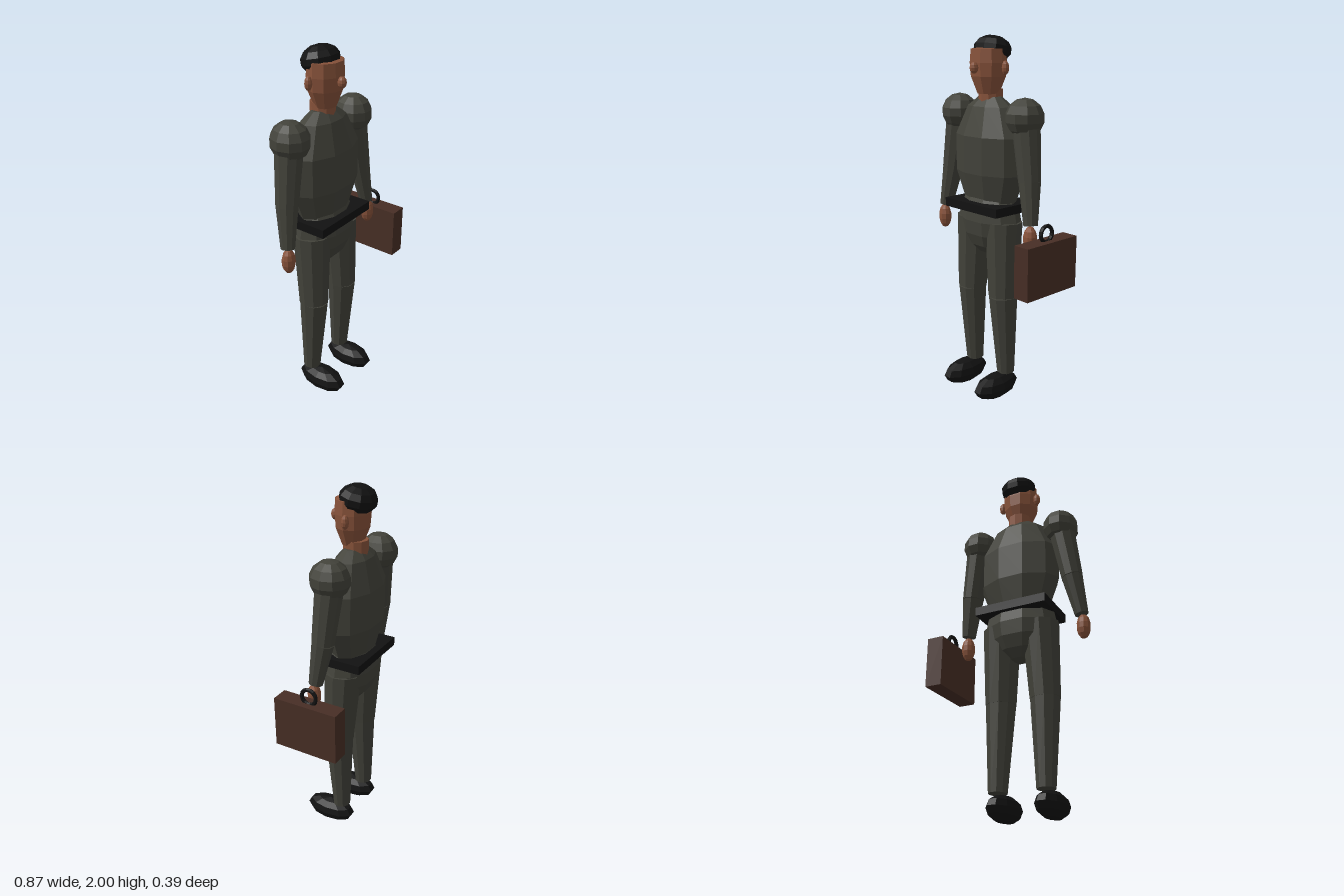
import * as THREE from 'three';

const flat = (name, color) => {
  const m = new THREE.MeshStandardMaterial({ color });
  m.name = name;
  m.flatShading = true;
  return m;
};

export function createModel() {
  const suit = flat('suit grey', 0x42423a);
  const skin = flat('skin brown', 0x87523a);
  const black = flat('black', 0x121212);
  const leather = flat('case leather', 0x472e25);

  const SIDES = 10;
  const model = new THREE.Group();
  model.name = 'man with briefcase';
  const body = new THREE.Group();
  body.name = 'body';
  body.position.x = -0.0525;
  model.add(body);

  const add = (parent, name, geometry, material, x = 0, y = 0, z = 0) => {
    const mesh = new THREE.Mesh(geometry, material);
    mesh.name = name;
    mesh.position.set(x, y, z);
    parent.add(mesh);
    return mesh;
  };

  // Low-poly ellipsoid
  const ball = (name, material, [x, y, z], [rx, ry, rz], rings = 7) =>
    add(body, name, new THREE.SphereGeometry(1, SIDES, rings).scale(rx, ry, rz), material, x, y, z);

  // Turned shape with an oval section and flat faces to front and back
  const turned = (name, material, profile, depth, z) => {
    const points = profile.map(([r, y]) => new THREE.Vector2(r, y));
    const geometry = new THREE.LatheGeometry(points, SIDES).rotateY(Math.PI / SIDES).scale(1, 1, depth);
    return add(body, name, geometry, material, 0, 0, z);
  };

  // Tapered limb section from an upper point to a lower one
  const limb = (name, from, to, rTop, rBottom) => {
    const a = new THREE.Vector3(...from);
    const b = new THREE.Vector3(...to);
    const axis = a.clone().sub(b);
    const geometry = new THREE.CylinderGeometry(rTop, rBottom, axis.length(), SIDES).rotateY(Math.PI / SIDES);
    const mesh = add(body, name, geometry, suit);
    mesh.position.copy(a).add(b).multiplyScalar(0.5);
    mesh.quaternion.setFromUnitVectors(new THREE.Vector3(0, 1, 0), axis.normalize());
  };

  // Head
  turned('head', skin, [[0, 1.695], [0.062, 1.7], [0.1, 1.79], [0.106, 1.86], [0.1, 1.93], [0, 1.95]], 0.87, -0.015);
  add(body, 'neck', new THREE.CylinderGeometry(0.066, 0.066, 0.09, SIDES), skin, 0, 1.68, -0.033);
  ball('nose', skin, [0, 1.835, 0.085], [0.023, 0.03, 0.024], 6);
  const hair = ball('hair', black, [0, 1.928, -0.045], [0.107, 0.072, 0.098]);
  hair.rotation.x = -0.2;

  // Trunk
  turned('torso', suit, [[0, 1.1], [0.165, 1.1], [0.235, 1.28], [0.235, 1.48],
    [0.152, 1.635], [0.078, 1.685], [0, 1.69]], 0.58, -0.03);
  add(body, 'belt', new THREE.BoxGeometry(0.41, 0.048, 0.292), black, 0, 1.101, -0.024);
  ball('pelvis', suit, [0, 1.02, -0.025], [0.21, 0.205, 0.13], 8);

  // Mirrored parts
  for (const [side, s] of [['left', 1], ['right', -1]]) {
    ball(`${side} ear`, skin, [s * 0.11, 1.835, -0.033], [0.021, 0.037, 0.02], 6);
    ball(`${side} shoulder`, suit, [s * 0.255, 1.59, -0.033], [0.1, 0.102, 0.107]);
    limb(`${side} upper arm`, [s * 0.262, 1.56, -0.035], [s * 0.308, 1.265, -0.02], 0.075, 0.06);
    limb(`${side} forearm`, [s * 0.308, 1.265, -0.02], [s * 0.343, 1.045, 0.005], 0.059, 0.038);
    ball(`${side} hand`, skin, [s * 0.348, 0.975, 0.012], [0.039, 0.07, 0.036]);
    limb(`${side} thigh`, [s * 0.115, 1.02, -0.022], [s * 0.128, 0.6, -0.006], 0.104, 0.083);
    limb(`${side} shin`, [s * 0.128, 0.6, -0.006], [s * 0.132, 0.135, -0.025], 0.081, 0.05);
    ball(`${side} shoe`, black, [s * 0.132, 0.07, 0.05], [0.075, 0.07, 0.152], 6);
  }

  // Briefcase with ring handle
  const briefcase = new THREE.Group();
  briefcase.name = 'briefcase';
  briefcase.position.set(0.386, 0.843, -0.013);
  model.add(briefcase);
  add(briefcase, 'case', new THREE.BoxGeometry(0.095, 0.28, 0.365), leather);
  add(briefcase, 'handle', new THREE.TorusGeometry(0.042, 0.011, 6, 14).rotateY(Math.PI / 2), black, 0, 0.175, 0);

  return model;
}
